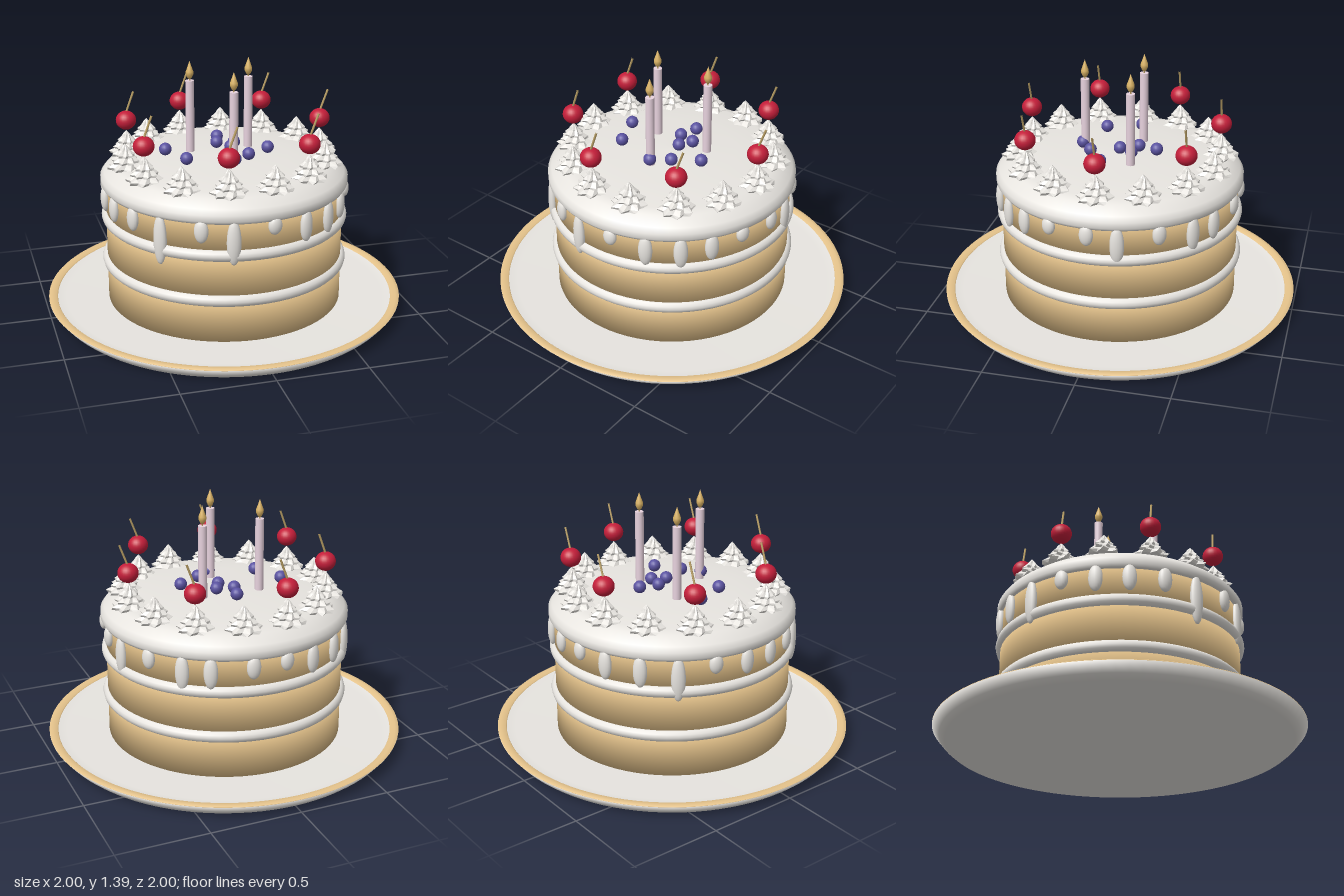
import * as THREE from 'three';

const mat = (name, color, opts = {}) => {
  const m = new THREE.MeshStandardMaterial({ color, ...opts });
  m.name = name;
  return m;
};

export function createModel() {
  const cake = new THREE.Group();
  cake.name = 'layerCake';

  const cream = mat('cream', 0xf2efea);
  const pipedCream = mat('pipedCream', 0xf2efea, { flatShading: true });
  const sponge = mat('sponge', 0xe6c48c);
  const red = mat('cherryRed', 0xc41e3a);
  const blue = mat('berryBlue', 0x5a52a0);
  const pink = mat('candlePink', 0xeed8e4);
  const stemTan = mat('stemTan', 0xbfa468);
  const flameGold = mat('flameGold', 0xd9b265);

  const add = (name, geometry, material, x = 0, y = 0, z = 0, parent = cake) => {
    const mesh = new THREE.Mesh(geometry, material);
    mesh.name = name;
    mesh.position.set(x, y, z);
    parent.add(mesh);
    return mesh;
  };
  const lathe = (points, segments = 72) =>
    new THREE.LatheGeometry(points.map(([r, y]) => new THREE.Vector2(r, y)), segments);

  // Plate, slightly dished, with a gilded rim
  add('plate', lathe([[0, 0], [0.93, 0], [0.96, 0.025], [1, 0.073], [0.95, 0.07], [0.9, 0.06], [0, 0.055]], 96), cream);
  add('plateRim', lathe([[0.998, 0.071], [1, 0.076], [0.98, 0.08], [0.955, 0.075], [0.95, 0.07]], 96), sponge);

  // Three sponge layers with cream fillings squeezed out between them
  [[0.055, 0.3], [0.3, 0.55], [0.55, 0.76]].forEach(([y0, y1]) =>
    add('spongeLayer', lathe([[0, y0], [0.66, y0], [0.66, y1], [0, y1]]), sponge));
  for (const y of [0.295, 0.55]) {
    add('creamFilling', new THREE.TorusGeometry(0.653, 0.033, 12, 72).rotateX(Math.PI / 2), cream, 0, y);
  }

  // Top frosting with a sloping shoulder
  add('topFrosting', lathe([[0.6, 0.728], [0.675, 0.728], [0.686, 0.745], [0.686, 0.778], [0.665, 0.805],
    [0.61, 0.845], [0.56, 0.858], [0.35, 0.875], [0, 0.885]]), cream);

  // Drips: [angle from the front in degrees, lower end]
  const drips = [[-45, 0.47], [-25.4, 0.62], [-11, 0.5], [7.7, 0.65], [24.5, 0.57], [40.3, 0.56], [54.4, 0.59],
    [69.8, 0.65], [88.3, 0.63], [102, 0.53], [121, 0.63], [138, 0.55], [151, 0.57], [170, 0.62], [186, 0.64],
    [201, 0.58], [218, 0.57], [235, 0.5], [252, 0.64], [268, 0.6], [283, 0.6], [299, 0.61]];
  const dripGeometry = new THREE.SphereGeometry(1, 16, 12);
  for (const [degrees, low] of drips) {
    const a = THREE.MathUtils.degToRad(degrees);
    const drip = add('frostingDrip', dripGeometry, cream, 0.668 * Math.sin(a), (0.75 + low) / 2, 0.668 * Math.cos(a));
    drip.rotation.y = a;
    drip.scale.set(0.038, (0.75 - low) / 2, 0.026);
  }

  // Piped dollop: tiers of a twisted eight-pointed star
  const dollop = lathe([[0, 0], [0.098, 0], [0.102, 0.016], [0.072, 0.034], [0.078, 0.046], [0.05, 0.066],
    [0.053, 0.078], [0.03, 0.1], [0.018, 0.118], [0, 0.138]], 16);
  const p = dollop.attributes.position;
  for (let i = 0; i < p.count; i++) {
    const x = p.getX(i), y = p.getY(i), z = p.getZ(i);
    const angle = Math.atan2(x, z);
    const r = Math.hypot(x, z) * (0.88 + 0.12 * Math.cos(angle * 8));
    const twisted = angle + y * 9;
    p.setXYZ(i, r * Math.sin(twisted), y, r * Math.cos(twisted));
  }
  dollop.computeVertexNormals();

  // Ring of dollops, every second one carrying a cherry
  const cherryGeometry = new THREE.SphereGeometry(0.057, 24, 16).scale(1, 0.93, 1);
  const stemGeometry = new THREE.TubeGeometry(new THREE.LineCurve3(
    new THREE.Vector3(0, 0.04, 0), new THREE.Vector3(0.045, 0.162, 0)), 1, 0.006, 6);
  for (let i = 0; i < 14; i++) {
    const a = i / 14 * Math.PI * 2;
    const x = 0.555 * Math.cos(a), z = 0.555 * Math.sin(a);
    const swirl = add('creamDollop', dollop, pipedCream, x, 0.848, z);
    swirl.rotation.y = -a;
    if (i % 2 === 0) {
      const cherry = new THREE.Group();
      cherry.name = 'cherry';
      cherry.position.set(x, 1.043, z);
      cake.add(cherry);
      add('cherryFruit', cherryGeometry, red, 0, 0, 0, cherry);
      add('cherryStem', stemGeometry, stemTan, 0, 0, 0, cherry);
    }
  }

  // Blueberries scattered over the middle
  const berryGeometry = new THREE.SphereGeometry(0.035, 16, 12);
  for (const [x, z] of [[0.015, -0.21], [-0.32, -0.055], [-0.015, -0.105], [0.08, -0.083], [0.04, -0.01],
    [0.235, 0.055], [-0.245, 0.132], [0.1, 0.142], [0.005, 0.208]]) {
    add('blueberry', berryGeometry, blue, x, 0.917, z);
  }

  // Candles with wick and teardrop flame
  const flame = lathe([[0, 0], [0.012, 0.01], [0.021, 0.03], [0.021, 0.045], [0.012, 0.07], [0, 0.105]], 16);
  for (const [x, z] of [[-0.168, -0.097], [0.166, -0.097], [0, 0.195]]) {
    const candle = new THREE.Group();
    candle.name = 'candle';
    candle.position.set(x, 0, z);
    cake.add(candle);
    add('candleStick', new THREE.CylinderGeometry(0.024, 0.024, 0.42, 20), pink, 0, 1.075, 0, candle);
    add('wick', new THREE.CylinderGeometry(0.004, 0.004, 0.03, 6), stemTan, 0, 1.29, 0, candle);
    add('flame', flame, flameGold, 0, 1.29, 0, candle);
  }

  return cake;
}
